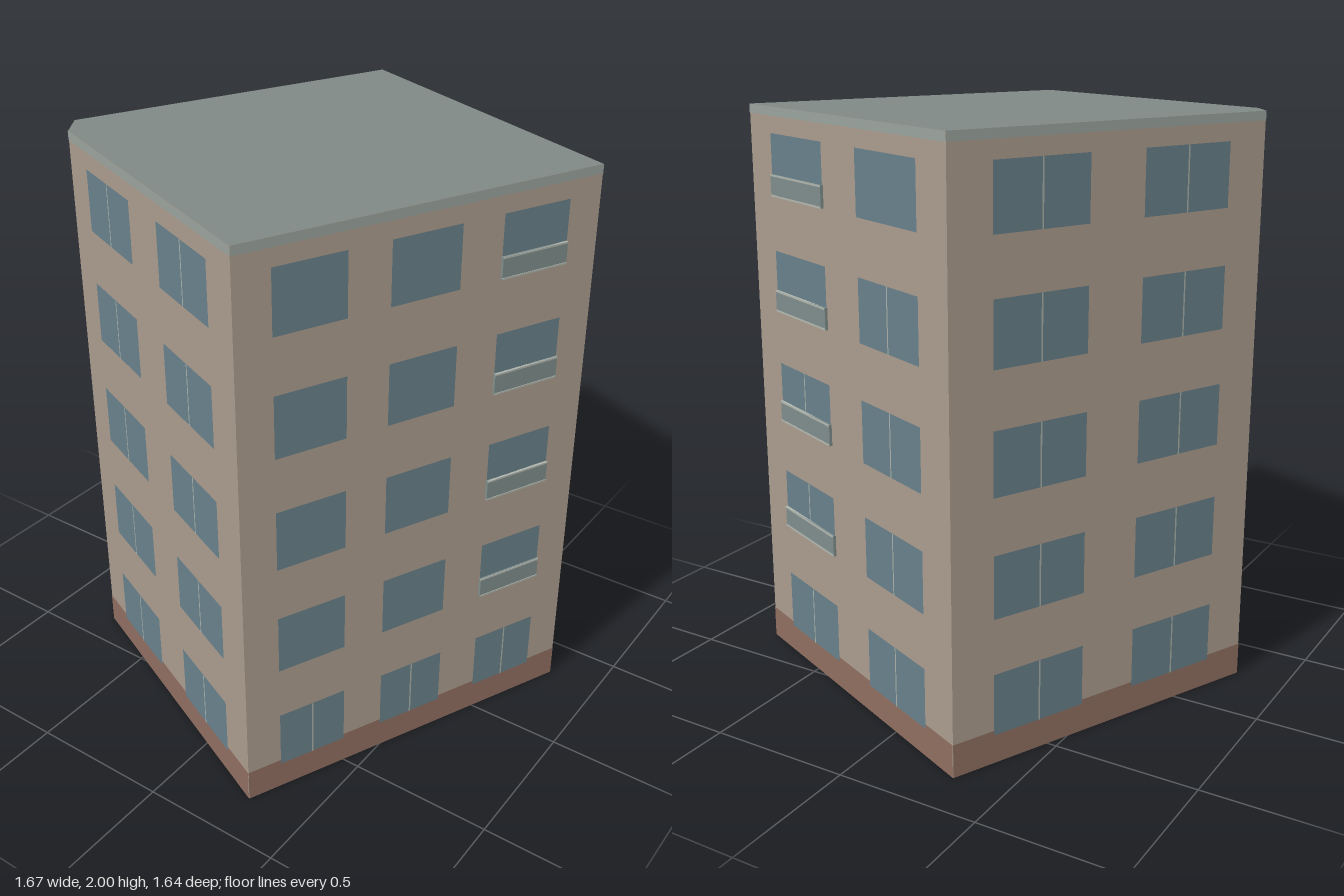
import * as THREE from 'three';

const HEIGHT = 2, FLOORS = 5, FLOOR_STEP = 0.4, SILL = 0.1, WINDOW_H = 0.212;
const PLINTH_H = 0.115, TRIM_H = 0.03, RAIL_H = 0.075, RAIL_D = 0.01;

const mat = (color, side = THREE.FrontSide) => new THREE.MeshStandardMaterial({ color, side });
const mats = {
  wall: mat(0xaa9c8e, THREE.DoubleSide),
  plinth: mat(0x8f6e60),
  trim: mat(0x9aa39d),
  roof: mat(0x7f8884, THREE.DoubleSide),
  glass: mat(0x68808a),
  mullion: mat(0xa9b0a8),
  panel: mat(0x7f8d8b),
  rail: mat(0xb0b5ad),
};

// Footprint corners [x, z], counter-clockwise seen from above
const A = [-0.835, 0.285], B = [0.335, 0.815], C = [0.832, -0.315], D = [-0.28, -0.818], E = [-0.375, -0.755];

// Window columns as fractions of the wall length
const TWO = [[0.126, 0.414], [0.588, 0.874]];
const THREE_COLS = [[0.095, 0.287], [0.402, 0.594], [0.712, 0.905]];

// Flat panel on a wall, spanning x0..x1 and y0..y1, z in front of the wall
function sheet(name, material, x0, x1, y0, y1, z) {
  const mesh = new THREE.Mesh(new THREE.PlaneGeometry(x1 - x0, y1 - y0), material);
  mesh.position.set((x0 + x1) / 2, (y0 + y1) / 2, z);
  mesh.name = name;
  return mesh;
}

function bar(name, material, x0, x1, y0, y1, depth) {
  const mesh = new THREE.Mesh(new THREE.BoxGeometry(x1 - x0, y1 - y0, depth), material);
  mesh.position.set((x0 + x1) / 2, (y0 + y1) / 2, depth / 2);
  mesh.name = name;
  return mesh;
}

// Shallow balcony front with a thin rail along its top and bottom
function balcony(x0, x1, y) {
  const g = new THREE.Group();
  g.name = 'balcony';
  g.add(
    bar('balconyPanel', mats.panel, x0, x1, y, y + RAIL_H, RAIL_D),
    bar('topRail', mats.rail, x0, x1, y + RAIL_H - 0.006, y + RAIL_H, RAIL_D + 0.002),
    bar('bottomRail', mats.rail, x0, x1, y, y + 0.006, RAIL_D + 0.002),
  );
  return g;
}

// One facade between two corners: local x runs along it, local z points outwards
function facade(name, p, q, columns, { banded = true, hasMullion = () => true, balconyColumn = -1 } = {}) {
  const dx = q[0] - p[0], dz = q[1] - p[1], len = Math.hypot(dx, dz);
  const g = new THREE.Group();
  g.name = name;
  g.position.set(p[0], 0, p[1]);
  g.rotation.y = Math.atan2(-dz, dx);
  g.add(sheet('wall', mats.wall, 0, len, 0, HEIGHT, 0));
  if (banded) {
    g.add(sheet('plinth', mats.plinth, 0, len, 0, PLINTH_H, 0.0015));
    g.add(sheet('roofTrim', mats.trim, 0, len, HEIGHT - TRIM_H, HEIGHT, 0.0015));
  }
  columns.forEach(([a, b], col) => {
    const x0 = a * len, x1 = b * len, mid = (x0 + x1) / 2;
    for (let floor = 0; floor < FLOORS; floor++) {
      const y = SILL + floor * FLOOR_STEP;
      g.add(sheet('window', mats.glass, x0, x1, y, y + WINDOW_H, 0.003));
      if (hasMullion(col, floor)) {
        g.add(sheet('mullion', mats.mullion, mid - 0.003, mid + 0.003, y, y + WINDOW_H, 0.0045));
      }
      if (col === balconyColumn && floor > 0) g.add(balcony(x0, x1, y));
    }
  });
  return g;
}

export function createModel() {
  const model = new THREE.Group();
  model.name = 'apartmentBlock';

  // Facades, with an open underside
  model.add(
    facade('frontFacade', A, B, THREE_COLS, { hasMullion: (c, f) => f === 0, balconyColumn: 2 }),
    facade('sideFacade', B, C, TWO, { hasMullion: (c, f) => f < 3 + c, balconyColumn: 0 }),
    facade('backFacade', C, D, TWO),
    facade('cutCorner', D, E, [], { banded: false }),
    facade('farSideFacade', E, A, TWO),
  );

  // Flat roof
  const outline = new THREE.Shape([A, B, C, D, E].map(([x, z]) => new THREE.Vector2(x, -z)));
  const roof = new THREE.Mesh(new THREE.ShapeGeometry(outline).rotateX(-Math.PI / 2), mats.roof);
  roof.position.y = HEIGHT;
  roof.name = 'roof';
  model.add(roof);

  return model;
}
